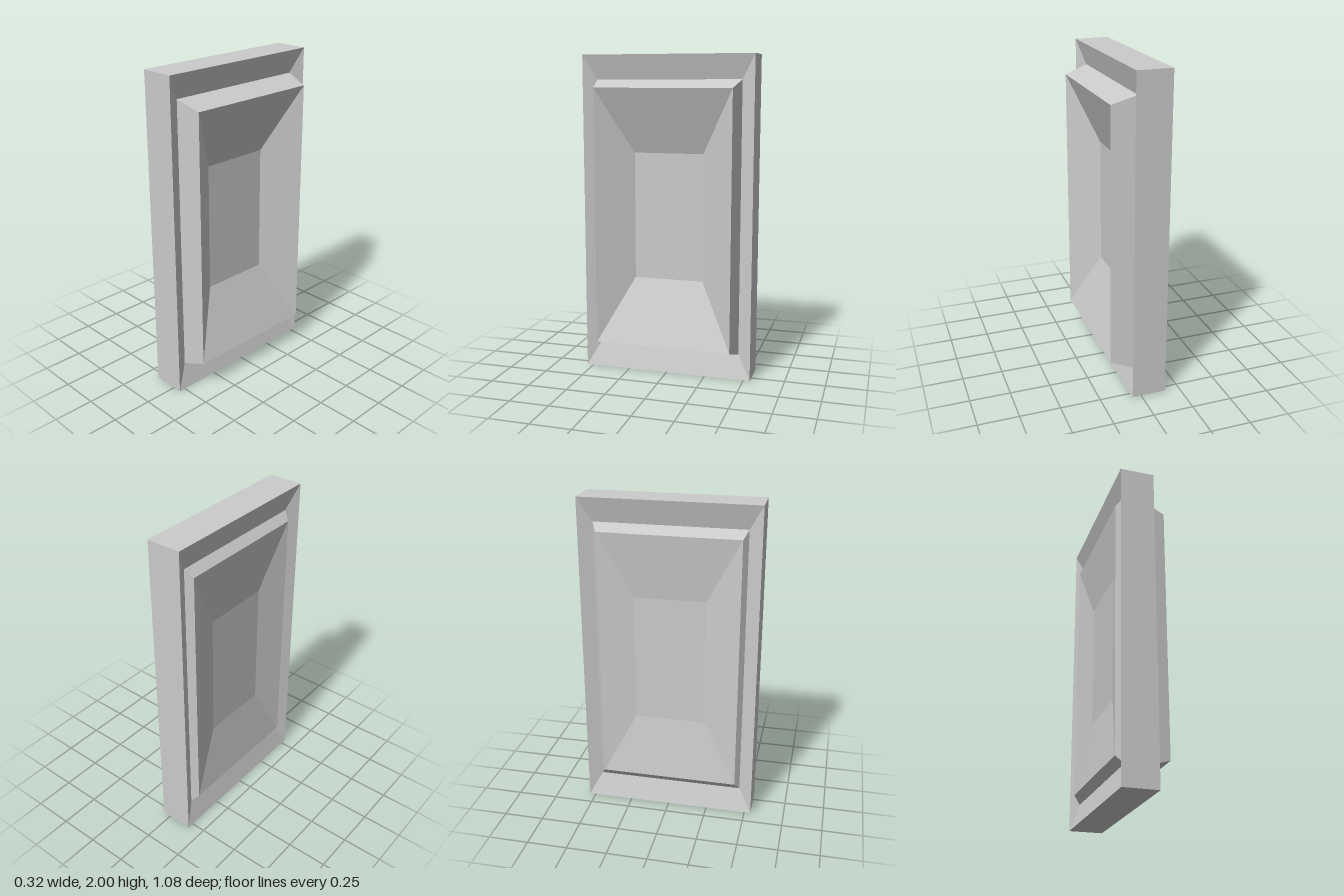
import * as THREE from 'three';

// Skin concentric rectangles [x, halfHeight, halfWidth], listed from back (-x) to front (+x).
function rectLoft(name, rings, { capStart = false, capEnd = false } = {}) {
  const loops = rings.map(([x, h, w]) => [
    [x, 1 - h, w], [x, 1 - h, -w], [x, 1 + h, -w], [x, 1 + h, w],
  ]);
  const pos = [];
  const quad = (a, b, c, d) => pos.push(...a, ...b, ...c, ...a, ...c, ...d);
  for (let r = 0; r < loops.length - 1; r++) {
    const a = loops[r], b = loops[r + 1];
    for (let i = 0; i < 4; i++) {
      const j = (i + 1) % 4;
      quad(a[i], a[j], b[j], b[i]);
    }
  }
  if (capStart) quad(...[...loops[0]].reverse());
  if (capEnd) quad(...loops[loops.length - 1]);

  const geometry = new THREE.BufferGeometry();
  geometry.setAttribute('position', new THREE.Float32BufferAttribute(pos, 3));
  geometry.computeVertexNormals();
  const material = new THREE.MeshStandardMaterial({ color: 0xcccccc, flatShading: true });
  const mesh = new THREE.Mesh(geometry, material);
  mesh.name = name;
  return mesh;
}

export function createModel() {
  const group = new THREE.Group();
  group.name = 'framedPanel';

  // Rectangles shared between the parts
  const backSeam = [-0.115, 0.85, 0.458];
  const frontSeam = [0.012, 0.85, 0.458];

  // Outer frame, its faces sloping inwards on both sides
  group.add(rectLoft('frame', [
    backSeam, [-0.158, 1, 0.54], [0.055, 1, 0.54], frontSeam,
  ]));

  // Raised front panel with bevelled sides and a deep dished face
  group.add(rectLoft('frontPanel', [
    frontSeam, [0.158, 0.8, 0.43], [0, 0.4, 0.22],
  ], { capEnd: true }));

  // Back panel, flush with the rim and shallowly dished
  group.add(rectLoft('backPanel', [
    [-0.108, 0.4, 0.22], [-0.158, 0.8, 0.43], backSeam,
  ], { capStart: true }));

  return group;
}
